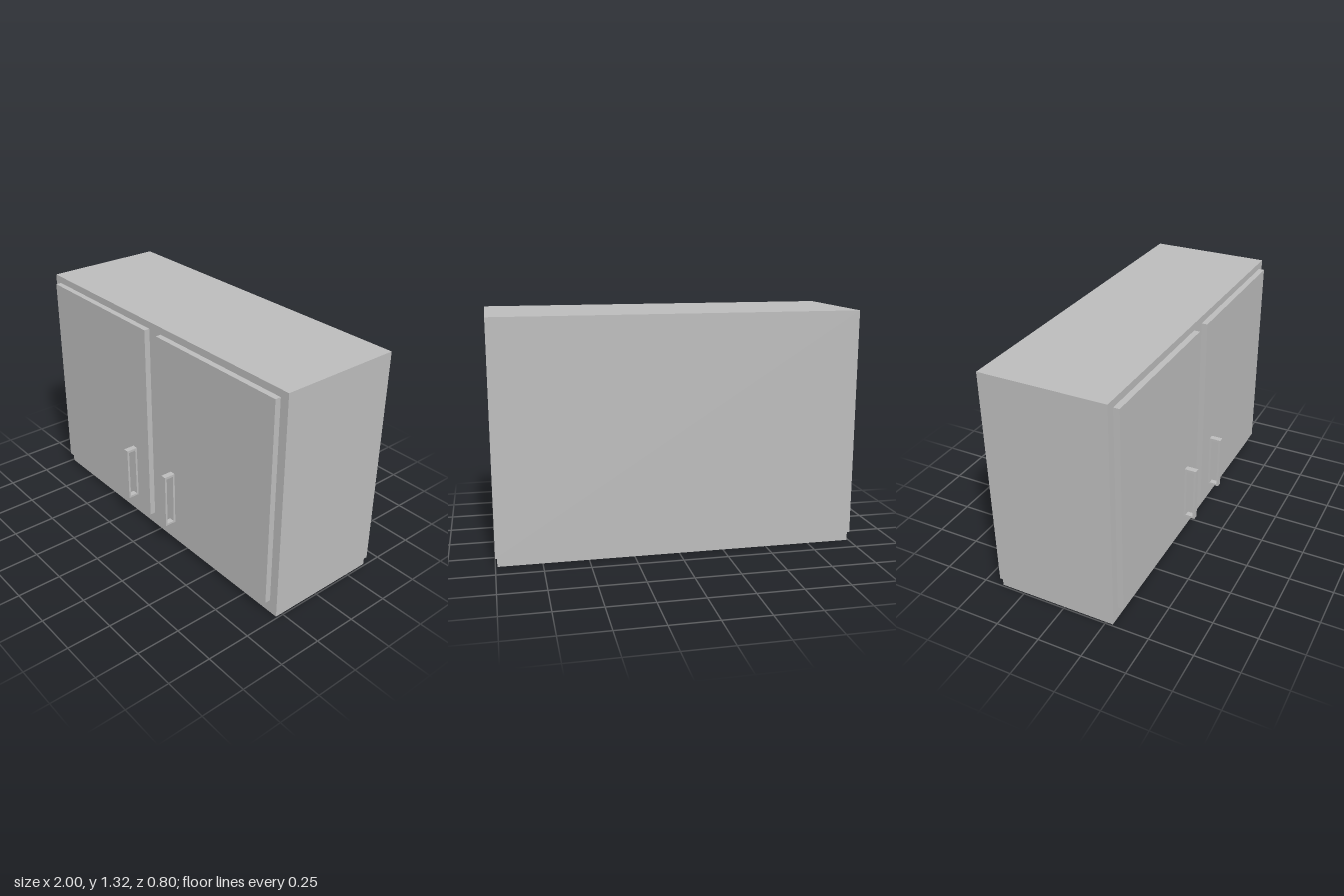
import * as THREE from 'three';

export function createModel() {
  const model = new THREE.Group();
  const grey = new THREE.MeshStandardMaterial({ color: 0xbcbcbc });
  grey.name = 'cabinet grey';

  // Box given by its extents along each axis
  function box(name, [x0, x1], [y0, y1], [z0, z1]) {
    const mesh = new THREE.Mesh(new THREE.BoxGeometry(x1 - x0, y1 - y0, z1 - z0), grey);
    mesh.position.set((x0 + x1) / 2, (y0 + y1) / 2, (z0 + z1) / 2);
    mesh.name = name;
    model.add(mesh);
  }

  function rectangle(path, z0, z1, y0, y1) {
    path.moveTo(z0, y0);
    path.lineTo(z1, y0);
    path.lineTo(z1, y1);
    path.lineTo(z0, y1);
    path.closePath();
    return path;
  }

  // Rectangular loop handle, drawn in the z-y plane and extruded along x
  function handle(name, x0, x1) {
    const shape = rectangle(new THREE.Shape(), 0.33, 0.4, 0.175, 0.5);
    shape.holes.push(rectangle(new THREE.Path(), 0.345, 0.388, 0.187, 0.486));
    const geometry = new THREE.ExtrudeGeometry(shape, { depth: x1 - x0, bevelEnabled: false });
    geometry.rotateY(-Math.PI / 2);
    const mesh = new THREE.Mesh(geometry, grey);
    mesh.position.x = x1;
    mesh.name = name;
    model.add(mesh);
  }

  // Recessed base and main body
  box('plinth', [-0.99, 0.99], [0, 0.05], [-0.39, 0.29]);
  box('carcass', [-1, 1], [0.05, 1.32], [-0.4, 0.3]);

  // Doors and their handles
  box('rightDoor', [-0.95, -0.05], [0.09, 1.28], [0.3, 0.333]);
  box('leftDoor', [0.05, 0.95], [0.09, 1.28], [0.3, 0.333]);
  handle('rightHandle', -0.2, -0.167);
  handle('leftHandle', 0.16, 0.193);

  return model;
}
